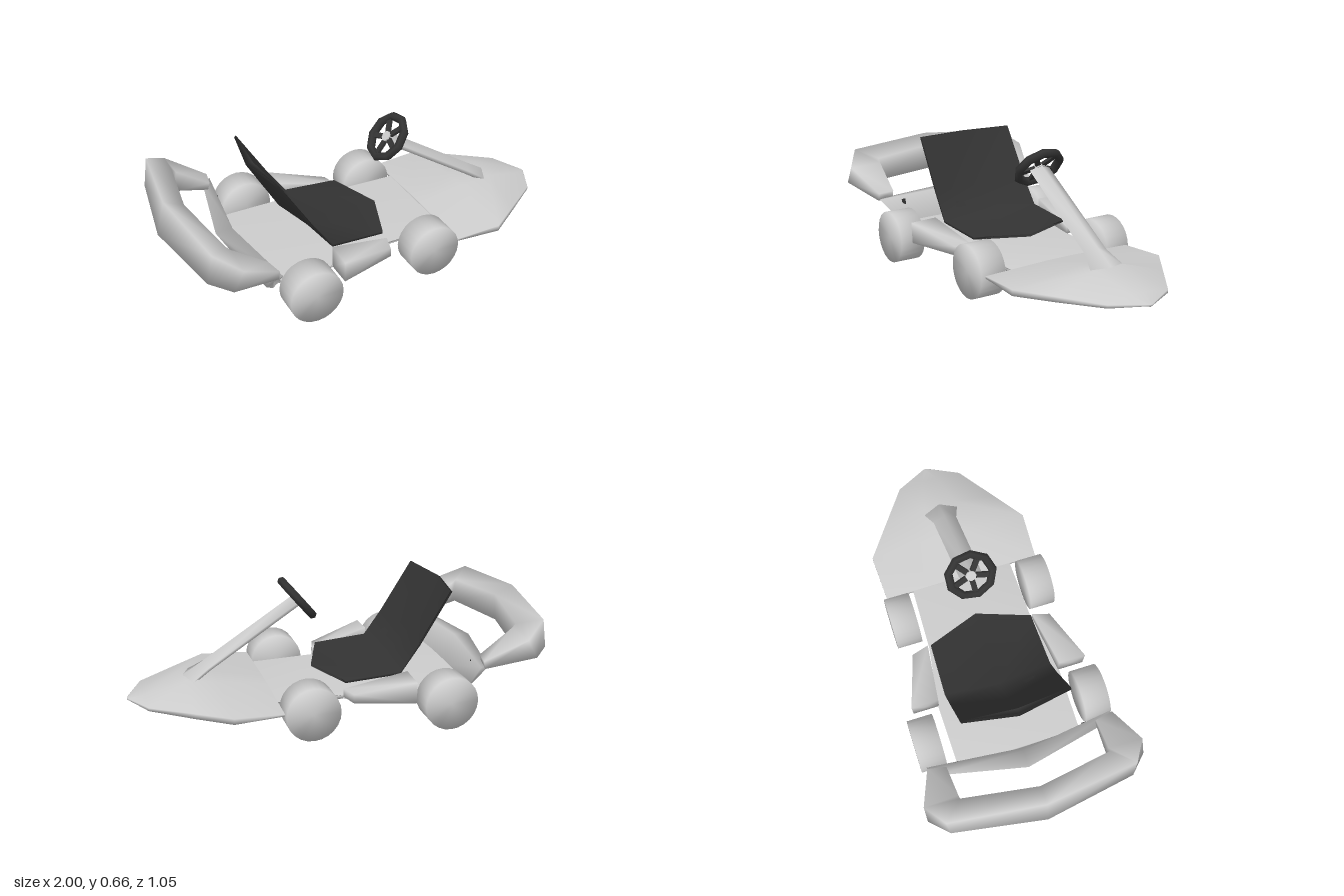
import * as THREE from 'three';

// Smooth closed skin through cross-sections (rings of [x, y, z]), capped at both ends
function loft(rings) {
  const n = rings[0].length, pos = [], idx = [];
  rings.forEach(r => r.forEach(p => pos.push(...p)));
  for (let s = 0; s < rings.length - 1; s++) {
    for (let i = 0; i < n; i++) {
      const a = s * n + i, b = s * n + (i + 1) % n;
      idx.push(a, b, a + n, b, b + n, a + n);
    }
  }
  [0, rings.length - 1].forEach((s, end) => {
    const c = pos.length / 3;
    for (let k = 0; k < 3; k++) pos.push(rings[s].reduce((t, p) => t + p[k], 0) / n);
    for (let i = 0; i < n; i++) {
      const a = s * n + i, b = s * n + (i + 1) % n;
      if (end) idx.push(a, b, c); else idx.push(b, a, c);
    }
  });
  // Turn all faces outward when the enclosed volume is negative
  const v = i => new THREE.Vector3().fromArray(pos, i * 3);
  let volume = 0;
  for (let i = 0; i < idx.length; i += 3) volume += v(idx[i]).dot(v(idx[i + 1]).cross(v(idx[i + 2])));
  if (volume < 0) idx.reverse();
  const g = new THREE.BufferGeometry();
  g.setAttribute('position', new THREE.Float32BufferAttribute(pos, 3));
  g.setIndex(idx);
  g.computeVertexNormals();
  return g;
}

const mirrorZ = ring => ring.map(([x, y, z]) => [x, y, -z]);

export function createModel() {
  const kart = new THREE.Group();
  kart.name = 'goKart';
  const grey = new THREE.MeshStandardMaterial({ color: 0xcccccc });
  grey.name = 'lightGrey';
  const dark = new THREE.MeshStandardMaterial({ color: 0x333333, side: THREE.DoubleSide });
  dark.name = 'darkGrey';
  const add = (name, geometry, material, parent = kart) => {
    const m = new THREE.Mesh(geometry, material);
    m.name = name;
    parent.add(m);
    return m;
  };

  // Floor pan: [x, half width]
  add('floorPan', loft([[-0.6, 0.31], [-0.28, 0.315], [0.02, 0.27], [0.36, 0.26]].map(([x, w]) => [
    [x, 0.117, -w + 0.02], [x, 0.145, -w], [x, 0.145, w], [x, 0.117, w - 0.02],
  ])), grey);

  // Nose: [x, half width, bottom, edge top, ridge top, ridge half width]
  add('nose', loft([
    [0.34, 0.4, 0.135, 0.145, 0.155, 0.06],
    [0.575, 0.41, 0.13, 0.158, 0.197, 0.07],
    [0.73, 0.3, 0.13, 0.155, 0.225, 0.08],
    [0.92, 0.165, 0.135, 0.15, 0.165, 0.04],
    [1.0, 0.01, 0.138, 0.142, 0.143, 0.004],
  ].map(([x, w, b, e, t, r]) => [
    [x, b, -w], [x, e, -w], [x, t, -r], [x, t, r], [x, e, w], [x, b, w], [x, b - 0.006, 0],
  ])), grey);

  // Steering column: [x, y, half width], with a ridge on top
  add('steeringColumn', loft([[0.18, 0.548, 0.055], [0.62, 0.267, 0.06], [0.72, 0.205, 0.095]].map(([x, y, w]) => [
    [x, y, -w], [x + 0.014, y + 0.022, 0], [x, y, w],
    [x - 0.013, y - 0.02, w * 0.6], [x - 0.013, y - 0.02, -w * 0.6],
  ])), grey);

  // Steering wheel: rim, spokes and hub, facing the driver
  const wheel = new THREE.Group();
  wheel.name = 'steeringWheel';
  add('steeringRim', new THREE.TorusGeometry(0.109, 0.021, 6, 9), dark, wheel);
  for (let i = 0; i < 5; i++) {
    const a = Math.PI / 2 + i * Math.PI * 2 / 5;
    const spoke = add('steeringSpoke', new THREE.BoxGeometry(0.09, 0.026, 0.014), dark, wheel);
    spoke.position.set(Math.cos(a) * 0.055, Math.sin(a) * 0.055, 0);
    spoke.rotation.z = a;
  }
  const hub = add('steeringHub', new THREE.CylinderGeometry(0.026, 0.03, 0.026, 8), grey, wheel);
  hub.rotation.x = Math.PI / 2;
  wheel.position.set(0.172, 0.555, 0);
  wheel.quaternion.setFromUnitVectors(new THREE.Vector3(0, 0, 1), new THREE.Vector3(-0.77, 0.64, 0).normalize());
  kart.add(wheel);

  // Seat: thin shell bent along the middle, [side x, side y, middle x, middle y, half width]
  const rows = [
    [-0.515, 0.6, -0.56, 0.595, 0.26],
    [-0.36, 0.35, -0.41, 0.335, 0.265],
    [-0.26, 0.215, -0.285, 0.205, 0.27],
    [0.01, 0.2, 0.105, 0.195, 0.262],
  ];
  add('seat', loft(rows.map(([sx, sy, mx, my, w], i) => {
    const dx = i < 2 ? 0.01 : 0, dy = i < 2 ? 0.005 : 0.012;
    return [
      [sx, sy, -w], [mx, my, 0], [sx, sy, w],
      [sx + dx, sy + dy, w], [mx + dx, my + dy, 0], [sx + dx, sy + dy, -w],
    ];
  })), dark);

  // Rear wing: half of its cross-sections, from the arm's foot to the middle
  const half = [
    [[-0.61, 0.275, 0.46], [-0.603, 0.312, 0.458], [-0.62, 0.312, 0.37], [-0.63, 0.277, 0.37]],
    [[-0.84, 0.33, 0.525], [-0.79, 0.42, 0.525], [-0.785, 0.425, 0.36], [-0.785, 0.32, 0.36]],
    [[-0.925, 0.345, 0.44], [-0.9, 0.487, 0.45], [-0.805, 0.445, 0.358], [-0.805, 0.327, 0.358]],
  ];
  const middle = [[-1, 0.35, 0], [-0.96, 0.512, 0], [-0.865, 0.47, 0], [-0.875, 0.335, 0]];
  add('rearWing', loft([...half, middle, ...half.map(mirrorZ).reverse()]), grey);

  // Rear bumper under the wing, swept back in the middle
  const bumperEnd = [[-0.635, 0.278, 0.44], [-0.59, 0.285, 0.46], [-0.585, 0.122, 0.32], [-0.61, 0.122, 0.3]];
  const bumperMiddle = [[-0.73, 0.272, 0], [-0.65, 0.28, 0], [-0.6, 0.12, 0], [-0.65, 0.128, 0]];
  add('rearBumper', loft([bumperEnd, bumperMiddle, mirrorZ(bumperEnd)]), grey);

  // Parts on both sides
  for (const s of [1, -1]) {
    const pod = [
      [[-0.28, 0.135, 0.31], [-0.28, 0.245, 0.31], [-0.28, 0.24, 0.445], [-0.28, 0.135, 0.44]],
      [[0.025, 0.138, 0.275], [0.025, 0.178, 0.275], [0.0, 0.18, 0.36], [0.0, 0.138, 0.365]],
    ];
    add('sidePod', loft(s > 0 ? pod : pod.map(mirrorZ)), grey);

    const vent = add('bumperVent', new THREE.BoxGeometry(0.008, 0.03, 0.022), dark);
    vent.position.set(-0.606, 0.25, s * 0.32);

    // Wheels: [name, x, inner z]
    for (const [name, x, z] of [['rearWheel', -0.44, 0.357], ['frontWheel', 0.208, 0.29]]) {
      const ring = zz => Array.from({ length: 24 }, (_, i) => {
        const a = i * Math.PI / 12;
        return [x + 0.13 * Math.cos(a), 0.13 + 0.13 * Math.sin(a), s * zz];
      });
      add(name, loft([ring(z), ring(z + 0.128)]), grey);
    }
  }
  return kart;
}
